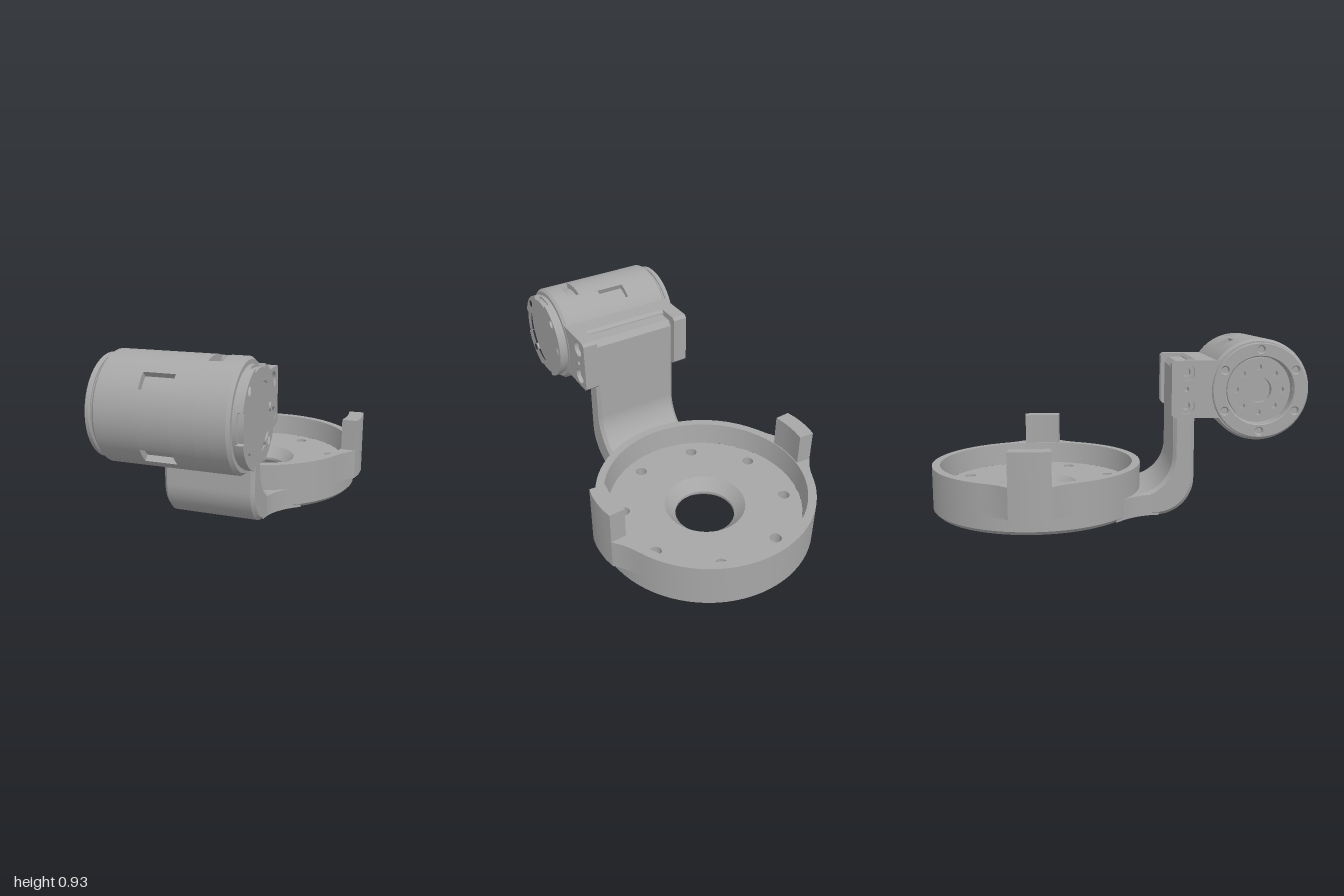
import * as THREE from 'three';
import { toCreasedNormals } from 'three/addons/utils/BufferGeometryUtils.js';

const V = (x, y) => new THREE.Vector2(x, y);

export function createModel() {
  const metal = new THREE.MeshStandardMaterial({ color: 0xa6a6a6 });
  metal.name = 'grey metal';

  const root = new THREE.Group();
  root.name = 'jointModule';
  // Everything is laid out around the dish axis, then turned.
  const body = new THREE.Group();
  body.name = 'assembly';
  body.position.set(-0.065, 0, -0.44);
  body.rotation.y = 0.275;
  root.add(body);

  const add = (name, geometry) => {
    const mesh = new THREE.Mesh(toCreasedNormals(geometry, 0.5), metal);
    mesh.name = name;
    body.add(mesh);
    return mesh;
  };
  const extrude = (shape, length, bevel = 0) => {
    const g = new THREE.ExtrudeGeometry(shape, {
      depth: length - 2 * bevel, curveSegments: 24, bevelEnabled: bevel > 0,
      bevelSize: bevel, bevelThickness: bevel, bevelOffset: -bevel, bevelSegments: 1,
    });
    return g.translate(0, 0, bevel);
  };
  // Shape (z, y) swept along x, and shape (x, z) swept along y
  const alongX = (shape, x0, x1, bevel) => extrude(shape, x1 - x0, bevel).rotateY(-Math.PI / 2).translate(x1, 0, 0);
  const alongY = (shape, y0, y1, bevel) => extrude(shape, y1 - y0, bevel).rotateX(Math.PI / 2).translate(0, y1, 0);
  const hole = (shape, x, y, r) => {
    shape.holes.push(new THREE.Path().absarc(x, y, r, 0, Math.PI * 2, true));
  };
  const disc = (r) => new THREE.Shape().absarc(0, 0, r, 0, Math.PI * 2, false);

  // ---- Dish ----
  const floor = disc(0.505);
  hole(floor, 0, 0, 0.21);
  for (let i = 0; i < 8; i++) {
    const a = (i + 0.5) * Math.PI / 4;
    hole(floor, 0.423 * Math.cos(a), 0.423 * Math.sin(a), 0.03);
  }
  add('dishFloor', alongY(floor, 0, 0.13));
  add('dishWall', new THREE.LatheGeometry([
    V(0.505, 0), V(0.543, 0), V(0.563, 0.02), V(0.563, 0.25), V(0.52, 0.25), V(0.505, 0.13),
  ], 80));
  add('centreHole', new THREE.LatheGeometry([V(0.21, 0.13), V(0.155, 0.07), V(0.155, 0.055), V(0.21, 0)], 48));

  // ---- Upright tabs with flared roots ----
  for (const s of [-1, 1]) {
    const at = (r, deg) => [s * r * Math.cos(deg * Math.PI / 180), r * Math.sin(deg * Math.PI / 180)];
    const sector = (pts) => new THREE.Shape(pts.map(([r, d]) => V(...at(r, d))));
    const tab = sector([[0.525, -11], [0.605, -10], [0.608, -5], [0.608, 0], [0.608, 5], [0.605, 10],
      [0.525, 11], [0.525, 5], [0.525, 0], [0.525, -5]]);
    add('tab', alongY(tab, 0.09, 0.42));
    const flare = sector([[0.54, -25], [0.563, -25], [0.566, -20], [0.578, -15], [0.605, -10], [0.608, 0],
      [0.605, 10], [0.578, 15], [0.566, 20], [0.563, 25], [0.54, 25], [0.54, 12], [0.54, 0], [0.54, -12]]);
    add('tabRoot', alongY(flare, 0.09, 0.25));
  }

  // ---- Curved arm ----
  const arm = new THREE.Shape();
  arm.moveTo(0.45, 0);
  arm.lineTo(0.63, 0);
  arm.absarc(0.63, 0.2, 0.2, -Math.PI / 2, 0, false);
  arm.lineTo(0.83, 0.8);
  arm.lineTo(0.745, 0.8);
  arm.lineTo(0.72, 0.77);
  arm.lineTo(0.72, 0.32);
  arm.absarc(0.51, 0.32, 0.21, 0, -Math.PI / 2, true);
  arm.lineTo(0.45, 0.11);
  add('arm', alongX(arm, -0.24, 0.24, 0.018));

  const foot = new THREE.Shape();
  foot.moveTo(-0.24, 0.45);
  foot.lineTo(0.24, 0.45);
  foot.lineTo(0.37, 0.42);
  foot.quadraticCurveTo(0.24, 0.52, 0.235, 0.65);
  foot.lineTo(-0.235, 0.65);
  foot.quadraticCurveTo(-0.24, 0.52, -0.37, 0.42);
  add('armFoot', alongY(foot, 0.002, 0.112));

  // ---- Bracket holding the motor ----
  const MY = 0.672, MZ = 1.14;
  const block = (z0, holeRadius) => {
    const s = new THREE.Shape([V(z0, 0.545), V(z0 + 0.015, 0.53), V(0.96, 0.53), V(0.96, 0.82),
      V(z0 + 0.015, 0.82), V(z0, 0.805)]);
    if (holeRadius) {
      for (const y of [0.59, 0.76]) hole(s, 0.775, y, holeRadius);
      hole(s, 0.775, 0.675, 0.013);
    }
    return s;
  };
  add('bracketWeb', alongX(block(0.815), -0.24, 0.24));
  for (const s of [-1, 1]) {
    const span = (a, b) => (s > 0 ? [a, b] : [-b, -a]);
    add('bracketEar', alongX(block(0.70, 0.022), ...span(0.235, 0.29)));
    add('bracketEarFace', alongX(block(0.70, 0.042), ...span(0.29, 0.313)));
  }

  // ---- Motor ----
  const motorPart = (name, geometry) => add(name, geometry.translate(0, MY, MZ));
  // Round outline with notches [angle from top, half angle, depth]
  const notched = (r, notches = []) => {
    const stops = [];
    for (let i = 0; i < 96; i++) stops.push([i * Math.PI / 48, r]);
    let pts = stops;
    for (const [a, half, depth] of notches) {
      const off = (t) => Math.atan2(Math.sin(t - a), Math.cos(t - a));
      pts = pts.filter(([t]) => Math.abs(off(t)) > half);
      pts.push([a - half, r], [a - half + 1e-4, r - depth], [a, r - depth],
        [a - half / 2, r - depth], [a + half / 2, r - depth],
        [a + half - 1e-4, r - depth], [a + half, r]);
    }
    const turn = Math.PI * 2;
    pts = pts.map(([t, q]) => [((t % turn) + turn) % turn, q]).sort((p, q) => p[0] - q[0]);
    return new THREE.Shape(pts.map(([t, q]) => V(q * Math.sin(t), q * Math.cos(t))));
  };
  const rad = Math.PI / 180;
  const sideSlots = [-30, 50, 130, 210].map((d) => [d * rad, 0.165, 0.03]);
  const R = 0.258;
  const sections = [[-0.28, -0.10, []], [-0.10, 0.05, sideSlots], [0.05, 0.16, []],
    [0.16, 0.225, [[0, 0.32, 0.03]]], [0.225, 0.30, []]];
  for (const [x0, x1, cuts] of sections) motorPart('motorHousing', alongX(notched(R, cuts), x0, x1));

  // Lathe profiles (radius, x), listed with x rising on the outside
  const turned = (pts) => new THREE.LatheGeometry(pts.map((p) => V(...p)), 96).rotateZ(-Math.PI / 2);
  motorPart('motorRightShoulder', turned([[R, 0.30], [0.245, 0.315], [0.225, 0.315], [0.225, 0.335], [0, 0.335]]));
  motorPart('motorLeftShoulder', turned([[0.17, -0.28], [0.17, -0.328], [0.228, -0.328], [0.228, -0.312],
    [0.245, -0.312], [R, -0.298], [R, -0.28]]));

  // Right cover: screw holes, rim notches and a sunk centre
  const cover = notched(0.232, [0, 180, 90].map((d) => [d * rad, 0.3, 0.018]));
  hole(cover, 0, 0, 0.168);
  for (const d of [45, 135, 225, 270, 315]) hole(cover, 0.2 * Math.sin(d * rad), 0.2 * Math.cos(d * rad), 0.02);
  motorPart('rightCover', alongX(cover, 0.33, 0.362));
  motorPart('rightCoverCentre', alongX(disc(0.163), 0.33, 0.354));

  // Left output flange with a deep recess and drilled hub
  const flange = disc(0.24);
  hole(flange, 0, 0, 0.17);
  for (let i = 0; i < 6; i++) hole(flange, 0.205 * Math.sin(i * 60 * rad), 0.205 * Math.cos(i * 60 * rad), 0.017);
  motorPart('leftFlange', alongX(flange, -0.352, -0.326, 0.005));
  const hub = disc(0.16);
  hole(hub, 0, 0, 0.065);
  for (let i = 0; i < 8; i++) hole(hub, 0.115 * Math.sin(i * 45 * rad), 0.115 * Math.cos(i * 45 * rad), 0.014);
  motorPart('outputHub', alongX(hub, -0.315, -0.28));

  return root;
}
